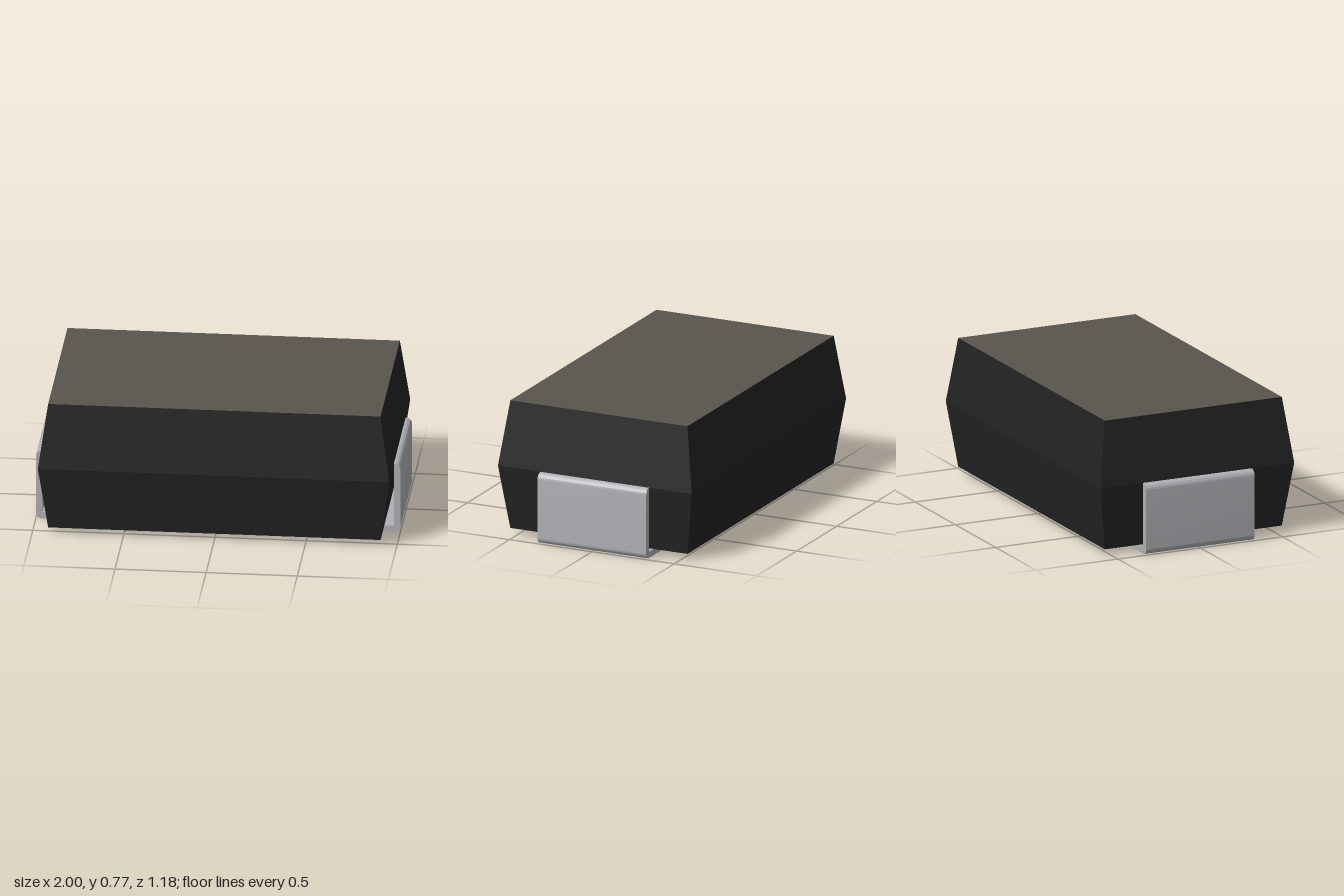
import * as THREE from 'three';
import { toCreasedNormals } from 'three/addons/utils/BufferGeometryUtils.js';

const mat = (name, color) => {
  const m = new THREE.MeshStandardMaterial({ color });
  m.name = name;
  return m;
};

// Flat-faced solid through rectangular rings [halfX, y, halfZ], bottom to top.
// Group 0 is the sides and base, group 1 the top face.
function ringSolid(rings) {
  const corners = rings.map(([x, y, z]) => [[-x, y, z], [x, y, z], [x, y, -z], [-x, y, -z]]);
  const pos = [];
  const quad = (a, b, c, d) => [a, b, c, a, c, d].forEach((p) => pos.push(...p));
  const [b0, b1, b2, b3] = corners[0];
  quad(b3, b2, b1, b0);
  for (let r = 0; r < corners.length - 1; r++) {
    for (let i = 0; i < 4; i++) {
      const j = (i + 1) % 4;
      quad(corners[r][i], corners[r][j], corners[r + 1][j], corners[r + 1][i]);
    }
  }
  const sideCount = pos.length / 3;
  quad(...corners[corners.length - 1]);
  const geo = new THREE.BufferGeometry();
  geo.setAttribute('position', new THREE.Float32BufferAttribute(pos, 3));
  geo.computeVertexNormals();
  geo.addGroup(0, sideCount, 0);
  geo.addGroup(sideCount, 6, 1);
  return geo;
}

// L-shaped terminal profile with rounded outer corners, extruded along z
function terminalGeometry() {
  const t = 0.036, top = 0.402, r = 0.034, foot = 0.643, width = 0.66;
  const s = new THREE.Shape();
  s.moveTo(foot, 0);
  s.lineTo(1 - r, 0);
  s.absarc(1 - r, r, r, -Math.PI / 2, 0, false);
  s.lineTo(1, top - r);
  s.absarc(1 - r, top - r, r, 0, Math.PI / 2, false);
  s.lineTo(1 - t, top);
  s.lineTo(1 - t, t);
  s.lineTo(foot, t);
  s.closePath();
  const geo = new THREE.ExtrudeGeometry(s, { depth: width, bevelEnabled: false, curveSegments: 8 });
  geo.translate(0, 0, -width / 2);
  return toCreasedNormals(geo, Math.PI / 6);
}

export function createModel() {
  const group = new THREE.Group();
  group.name = 'surfaceMountPackage';
  const black = mat('black casing', 0x232323);
  const taupe = mat('taupe top', 0x58544d);
  const metal = mat('tinned metal', 0xb0b1b5);

  const add = (name, geo, material) => {
    const mesh = new THREE.Mesh(geo, material);
    mesh.name = name;
    group.add(mesh);
    return mesh;
  };

  // Moulded casing, widest at mid height
  add('casing', ringSolid([[0.912, 0.037, 0.538], [0.964, 0.402, 0.588], [0.912, 0.768, 0.538]]), [black, taupe]);

  // Bent end terminals
  const terminal = terminalGeometry();
  add('leftTerminal', terminal, metal);
  add('rightTerminal', terminal, metal).rotation.y = Math.PI;

  // Central pad under the casing
  const pad = new THREE.BoxGeometry(0.726, 0.037, 0.72);
  pad.translate(0, 0.0185, 0);
  add('centrePad', pad, metal);

  return group;
}
